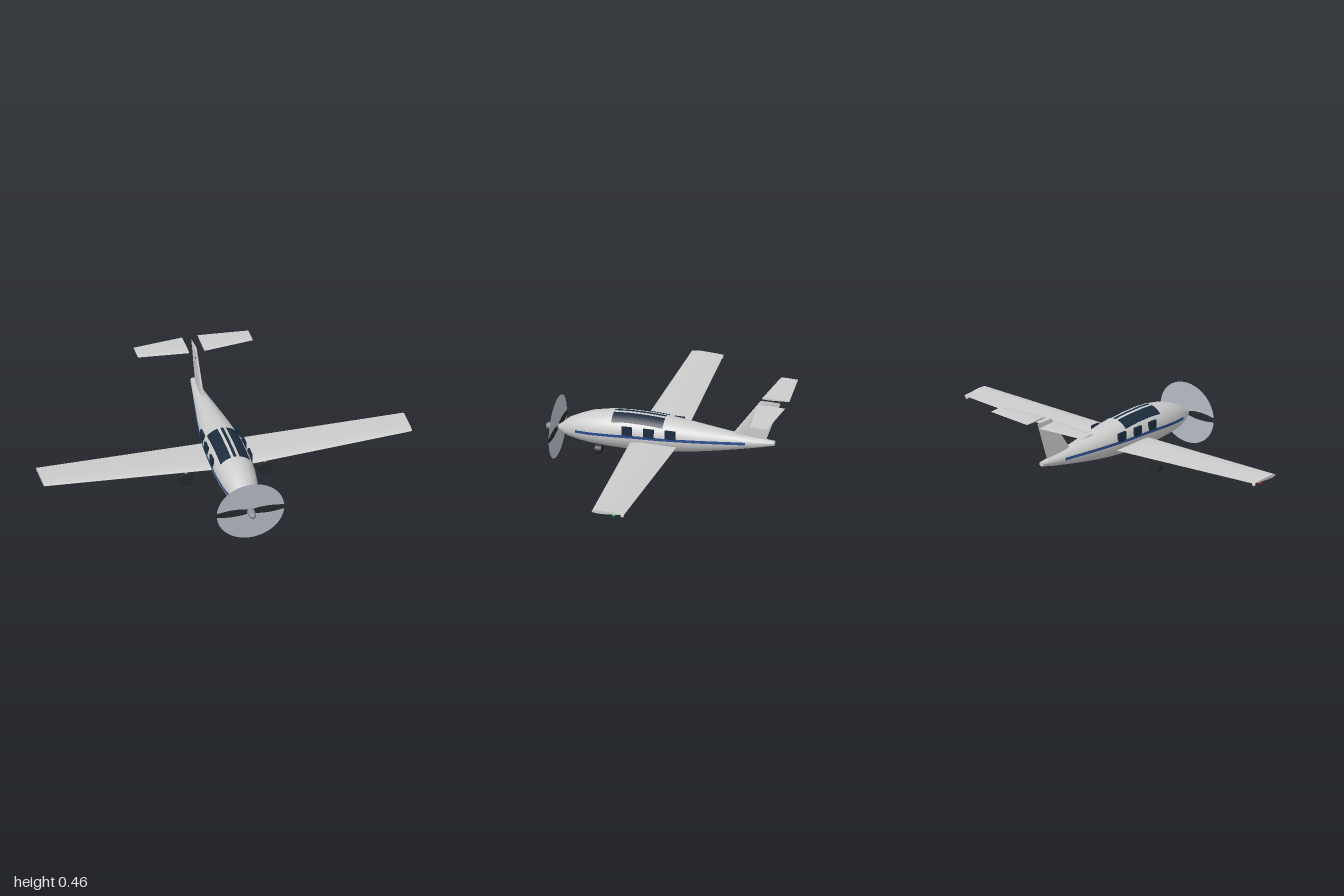
import * as THREE from 'three';
import { toCreasedNormals } from 'three/addons/utils/BufferGeometryUtils.js';

const mat = (color, side = THREE.FrontSide) => new THREE.MeshStandardMaterial({ color, side });
const V = (x, y, z) => new THREE.Vector3(x, y, z);

// Fuselage stations, nose to tail: z, half width, bottom y, top y
const STATIONS = [
  [0.585, 0.012, 0.155, 0.181], [0.56, 0.03, 0.14, 0.2], [0.53, 0.047, 0.127, 0.228], [0.47, 0.072, 0.116, 0.256],
  [0.4, 0.09, 0.107, 0.282], [0.3, 0.102, 0.101, 0.301], [0.2, 0.106, 0.099, 0.307], [0.1, 0.105, 0.101, 0.306],
  [0, 0.1, 0.107, 0.3], [-0.1, 0.089, 0.117, 0.289], [-0.2, 0.076, 0.131, 0.275], [-0.3, 0.06, 0.147, 0.262],
  [-0.4, 0.043, 0.165, 0.25], [-0.5, 0.028, 0.185, 0.24], [-0.59, 0.014, 0.206, 0.232],
];

// Half width, centre y and half height of the fuselage at z
function bodyAt(z) {
  let i = 0;
  while (i < STATIONS.length - 2 && STATIONS[i + 1][0] > z) i++;
  const a = STATIONS[i], b = STATIONS[i + 1];
  const t = THREE.MathUtils.clamp((a[0] - z) / (a[0] - b[0]), 0, 1);
  const [w, lo, hi] = [1, 2, 3].map(k => a[k] + (b[k] - a[k]) * t);
  return { w, c: (lo + hi) / 2, h: (hi - lo) / 2 };
}

// Capped skin through a row of rings
function loft(rings, crease = 0.6) {
  const pos = [], n = rings[0].length;
  const tri = (...pts) => pts.forEach(p => pos.push(p.x, p.y, p.z));
  for (let i = 0; i < rings.length - 1; i++) {
    for (let j = 0; j < n; j++) {
      const k = (j + 1) % n, r = rings[i], s = rings[i + 1];
      tri(r[j], s[j], r[k]);
      tri(s[j], s[k], r[k]);
    }
  }
  const first = rings[0], last = rings[rings.length - 1];
  for (let j = 1; j < n - 1; j++) {
    tri(first[0], first[j], first[j + 1]);
    tri(last[0], last[j + 1], last[j]);
  }
  const g = new THREE.BufferGeometry();
  g.setAttribute('position', new THREE.Float32BufferAttribute(pos, 3));
  return toCreasedNormals(g, crease);
}

// Open sheet from a rule fn(u, v)
function sheet(fn, nu, nv) {
  const g = new THREE.PlaneGeometry(1, 1, nu, nv), p = g.attributes.position;
  for (let i = 0; i < p.count; i++) {
    const q = fn(p.getX(i) + 0.5, p.getY(i) + 0.5);
    p.setXYZ(i, q.x, q.y, q.z);
  }
  g.computeVertexNormals();
  return g;
}

// Airfoil section: chord fraction from leading edge, thickness fraction
const FOIL = [[0, 0], [0.03, 0.25], [0.12, 0.42], [0.3, 0.5], [0.6, 0.34], [1, 0.04],
  [1, -0.04], [0.6, -0.34], [0.3, -0.5], [0.12, -0.42], [0.03, -0.25]];
const foil = (front, back, thick, place) => FOIL.map(([c, t]) => place(front + (back - front) * c, t * thick));

export function createModel() {
  const model = new THREE.Group();
  const add = (name, geometry, material, parent = model) => {
    const m = new THREE.Mesh(geometry, material);
    m.name = name;
    parent.add(m);
    return m;
  };
  const white = mat(0xcccccc);
  const glass = mat(0x1c2c3e, THREE.DoubleSide);
  const blue = mat(0x2a4c8c, THREE.DoubleSide);
  const dark = mat(0x25282d);

  // Fuselage
  const rings = STATIONS.map(([z]) => {
    const { w, c, h } = bodyAt(z);
    return Array.from({ length: 32 }, (_, j) => {
      const a = j / 32 * Math.PI * 2;
      return V(Math.cos(a) * w, c + Math.sin(a) * h, z);
    });
  });
  add('fuselage', loft(rings, 0.9), white);

  // Roof glazing strips laid on the skin
  const roof = (x0, x1) => sheet((u, v) => {
    const z = 0.28 * v, x = x0 + (x1 - x0) * u, { w, c, h } = bodyAt(z);
    return V(x, c + h * Math.sqrt(1 - (x / w) ** 2) + 0.004, z);
  }, 8, 14);
  add('roofGlassCentre', roof(-0.008, 0.008), glass);

  // Parts repeated on both sides
  for (const s of [1, -1]) {
    const side = new THREE.Group();
    side.name = s > 0 ? 'leftSide' : 'rightSide';
    side.scale.x = s;
    model.add(side);

    add('roofGlass', roof(0.023, 0.08), glass, side);

    // Cheat line along the body
    const stripeY = z => z > 0.12 ? 0.21 - 0.024 * ((z - 0.12) / 0.36) ** 1.4 : 0.21 + 0.003 * (0.12 - z) / 0.56;
    add('stripe', sheet((u, v) => {
      const z = 0.48 - 0.92 * u, y = stripeY(z) + (v - 0.5) * 0.015, { w, c, h } = bodyAt(z);
      return V(w * Math.sqrt(Math.max(0, 1 - ((y - c) / h) ** 2)) + 0.004, y, z);
    }, 46, 1), blue, side);

    // Cabin windows
    for (const z of [0.188, 0.071, -0.045]) {
      add('cabinWindow', new THREE.BoxGeometry(0.012, 0.048, 0.056), glass, side)
        .position.set(bodyAt(z).w - 0.002, 0.238, z);
    }

    // Wing with slight dihedral
    add('wing', loft([
      foil(0.178, -0.08, 0.027, (c, t) => V(0, 0.165 + t, c)),
      foil(0.135, -0.04, 0.018, (c, t) => V(1, 0.197 + t, c)),
    ]), white, side);

    // Wing tip lights
    const lamp = new THREE.SphereGeometry(0.01, 12, 8);
    add('navigationLight', lamp, mat(s > 0 ? 0x16a050 : 0xc02828), side).position.set(0.99, 0.185, 0.017);
    add('strobeLight', lamp, white, side).position.set(0.99, 0.187, -0.03);

    // Tailplane half
    add('tailplane', loft([
      foil(-0.508, -0.658, 0.01, (c, t) => V(0.042, 0.449 + t, c)),
      foil(-0.538, -0.632, 0.007, (c, t) => V(0.312, 0.449 + t, c)),
    ]), white, side);

    // Main landing gear
    const wheel = new THREE.CylinderGeometry(0.038, 0.038, 0.034, 20).rotateX(Math.PI / 2).scale(1.05, 0.92, 1);
    add('mainWheel', wheel, dark, side).position.set(0.215, 0.069, 0.08);
    add('mainStrut', new THREE.CylinderGeometry(0.007, 0.007, 0.1, 10), mat(0x999999), side)
      .position.set(0.215, 0.12, 0.08);
  }

  // Nose gear
  const noseWheel = new THREE.CylinderGeometry(0.031, 0.031, 0.034, 20).rotateX(Math.PI / 2).scale(1.05, 0.92, 1);
  add('noseWheel', noseWheel, dark).position.set(0, 0.067, 0.367);
  add('noseStrut', new THREE.CylinderGeometry(0.007, 0.007, 0.06, 10), mat(0x999999)).position.set(0, 0.1, 0.367);

  // Swept fin and beacon
  add('fin', loft([
    foil(-0.35, -0.543, 0.016, (c, t) => V(-t, 0.232, c)),
    foil(-0.512, -0.622, 0.01, (c, t) => V(-t, 0.455, c)),
  ]), white);
  add('beacon', new THREE.SphereGeometry(0.009, 12, 8), mat(0xc02828)).position.set(0, 0.411, -0.511);

  // Propeller: spinner, two blades and the swept disc
  const propeller = new THREE.Group();
  propeller.name = 'propeller';
  propeller.position.set(0, 0.167, 0.592);
  model.add(propeller);
  const profile = [[0, -0.015], [0.012, -0.012], [0.02, 0.004], [0.021, 0.036], [0.017, 0.052], [0.009, 0.062], [0, 0.064]]
    .map(([r, y]) => new THREE.Vector2(r, y));
  add('spinner', new THREE.LatheGeometry(profile, 24).rotateX(Math.PI / 2), mat(0x8c9096), propeller);
  add('propellerDisc', new THREE.CircleGeometry(0.167, 48).scale(1.1, 1, 1), mat(0xb4bac4, THREE.DoubleSide), propeller);

  const outline = new THREE.Shape();
  outline.moveTo(0, -0.008);
  outline.quadraticCurveTo(0.08, -0.032, 0.183, -0.011);
  outline.lineTo(0.183, 0.011);
  outline.quadraticCurveTo(0.08, 0.03, 0, 0.008);
  const bladeGeo = new THREE.ExtrudeGeometry(outline, { depth: 0.006, bevelEnabled: false }).translate(0, 0, -0.003);
  for (const a of [0, Math.PI]) add('blade', bladeGeo, dark, propeller).rotation.z = a;

  return model;
}
